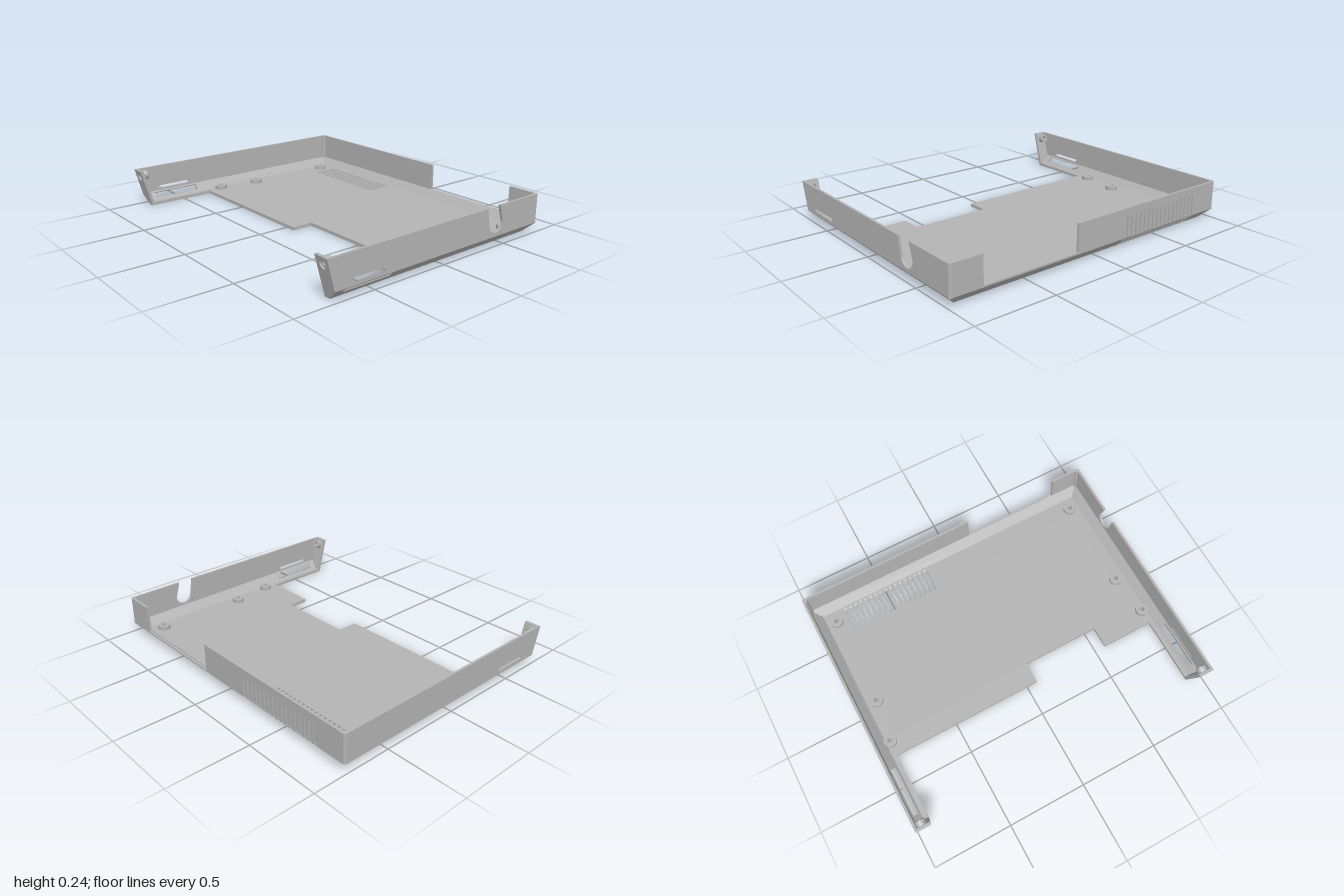
import * as THREE from 'three';

const W = 1, B = 0.805, H = 0.24, C = 0.06, T = 0.015, FLOOR = 0.02;
const slant = (y) => 0.74 + 0.27 * y; // z of the sloping front ends

const shapeOf = (pts) => new THREE.Shape(pts.map(([x, y]) => new THREE.Vector2(x, y)));
const rect = (x0, y0, x1, y1) => [[x0, y0], [x1, y0], [x1, y1], [x0, y1]];
const circle = (x, y, r) => new THREE.Path().absarc(x, y, r, 0, Math.PI * 2);

function extrude(shape, d0, d1, holes = []) {
  shape.holes.push(...holes);
  const g = new THREE.ExtrudeGeometry(shape, { depth: d1 - d0, bevelEnabled: false, curveSegments: 16 });
  return g.translate(0, 0, d0);
}

// Move every vertex by a rule, then refresh the flat normals
function warp(g, rule) {
  const p = g.attributes.position, v = new THREE.Vector3();
  for (let i = 0; i < p.count; i++) {
    rule(v.fromBufferAttribute(p, i));
    p.setXYZ(i, v.x, v.y, v.z);
  }
  g.computeVertexNormals();
  return g;
}

// Sloped panel between floor and wall; depth 0 is the inner face, 1 the outer
function chamfer(pts, reach, d0, d1, holes = []) {
  return warp(extrude(shapeOf(pts), d0, d1, holes), (v) => {
    const outer = reach - C + v.y, yIn = v.y * 7 / 6;
    const inner = reach - 0.085 + yIn;
    v.z = THREE.MathUtils.lerp(inner, outer, v.z);
    const d = (v.z - inner) / (outer - inner);
    v.y = THREE.MathUtils.lerp(yIn, v.y, d);
  });
}

export function createModel() {
  const model = new THREE.Group();
  model.name = 'enclosureBase';
  const grey = new THREE.MeshStandardMaterial({ color: 0xb3b3b3 });
  grey.name = 'grey plastic';
  const add = (name, g) => {
    const m = new THREE.Mesh(g, grey);
    m.name = name;
    model.add(m);
    return m;
  };

  const slots = Array.from({ length: 17 }, (_, i) => [-0.795 + i * 0.036, -0.775 + i * 0.036]);
  const posts = [];
  for (const s of [1, -1]) posts.push([s * 0.87, -0.66], [s * 0.87, -0.06], [s * 0.905, 0.21]);

  // Floor with front notch, side arms, vent slots and screw holes
  const outline = [
    [-0.94, 0.745], [-0.94, -0.74], [-0.905, -0.74], [-0.905, -0.305], [0.07, -0.305], [0.07, -0.17],
    [0.57, -0.17], [0.57, -0.305], [0.905, -0.305], [0.905, -0.74], [0.94, -0.74], [0.94, 0.745],
  ];
  const floorHoles = slots.map(([a, b]) => shapeOf(rect(a, 0.565, b, 0.735)));
  posts.forEach(([x, z]) => floorHoles.push(circle(x, -z, 0.015)));
  add('floor', extrude(shapeOf(outline), 0, FLOOR, floorHoles).rotateX(-Math.PI / 2));

  // Screw posts
  for (const [x, z] of posts) {
    const ring = new THREE.Shape().absarc(0, 0, 0.04, 0, Math.PI * 2);
    const g = extrude(ring, 0, 0.027, [circle(0, 0, 0.015)]);
    add('screwPost', g.rotateX(-Math.PI / 2).translate(x, FLOOR - 0.002, z));
  }

  // Side walls, with a cable cutout in the left one only
  for (const s of [1, -1]) {
    const at = ([z, y]) => [-s * z, y];
    const turn = s * Math.PI / 2;
    const pts = [[-B + T, C], [slant(C), C], [slant(H), H]];
    if (s > 0) {
      pts.push([-0.346, H]);
      for (let i = 0; i <= 14; i++) {
        const a = -Math.PI * i / 14;
        pts.push([-0.422 + 0.058 * Math.cos(a), 0.14 + 0.058 * Math.sin(a)]);
      }
      pts.push([-0.45, H]);
    }
    pts.push([-B + T, H]);
    const upperSlot = shapeOf(rect(0.42, 0.082, 0.645, 0.102).map(at));
    add('sideWall', extrude(shapeOf(pts.map(at)), W - T, W, [upperSlot]).rotateY(turn));

    const low = [[-B + C, 0], [slant(0), 0], [slant(C), C], [-B, C]];
    const lowerSlot = shapeOf(rect(0.373, 0.028, 0.685, 0.053).map(at));
    add('sideChamfer', chamfer(low.map(at), W, 0, 1, [lowerSlot]).rotateY(turn));

    // Rounded back corner
    const post = new THREE.CylinderGeometry(T, T, H - C, 16);
    add('backCorner', post.translate(s * (W - T), (H + C) / 2, -B + T));

    // Sloping front tab with a screw hole
    const tab = rect(0.905, 0, 0.94, 0).slice(0, 2).concat([[W, C], [W, H], [0.905, H]]);
    const tabGeo = extrude(shapeOf(tab.map(([x, y]) => [s * x, y])), -0.02, 0, [circle(s * 0.952, 0.195, 0.024)]);
    add('frontTab', warp(tabGeo, (v) => { v.z += slant(v.y); }));

    // Hollow screw boss behind the tab
    const ring = new THREE.Shape().absarc(0, 0, 0.03, 0, Math.PI * 2);
    const boss = extrude(ring, -0.05, -0.012, [circle(0, 0, 0.014)]);
    boss.rotateX(Math.atan(0.27)).translate(s * 0.952, 0.195, slant(0.195));
    add('screwBoss', boss);
  }

  // Back wall: solid inner layer, and an outer layer notched by the vent grooves
  const G = 0.008;
  const top = [[W - T, C], [W - T, H], [0.8, H], [0.8, 0.07], [0.165, 0.07], [0.165, H], [-W + T, H], [-W + T, C]];
  const notches = slots.flatMap(([a, b]) => [[a, C], [a, 0.192], [b, 0.192], [b, C]]);
  const flip = ([x, y]) => [-x, y];
  add('backWall', extrude(shapeOf(top.map(flip)), B - T, B - G).rotateY(Math.PI));
  add('backWallVents', extrude(shapeOf([...top, ...notches].map(flip)), B - G, B).rotateY(Math.PI));

  // Back chamfer: solid inner layer, and outer pieces left between the grooves
  const split = 0.65;
  const bar = [[-W + C, 0], [W - C, 0], [W, C], [-W, C]];
  add('backChamfer', chamfer(bar.map(flip), B, 0, split).rotateY(Math.PI));
  const first = slots[0][0], last = slots[16][1];
  const pieces = [
    [[-W + C, 0], [first, 0], [first, C], [-W, C]],
    [[last, 0], [W - C, 0], [W, C], [last, C]],
  ];
  for (let i = 0; i < 16; i++) pieces.push(rect(slots[i][1], 0, slots[i + 1][0], C));
  for (const p of pieces) add('backChamferRib', chamfer(p.map(flip), B, split, 1).rotateY(Math.PI));

  return model;
}
